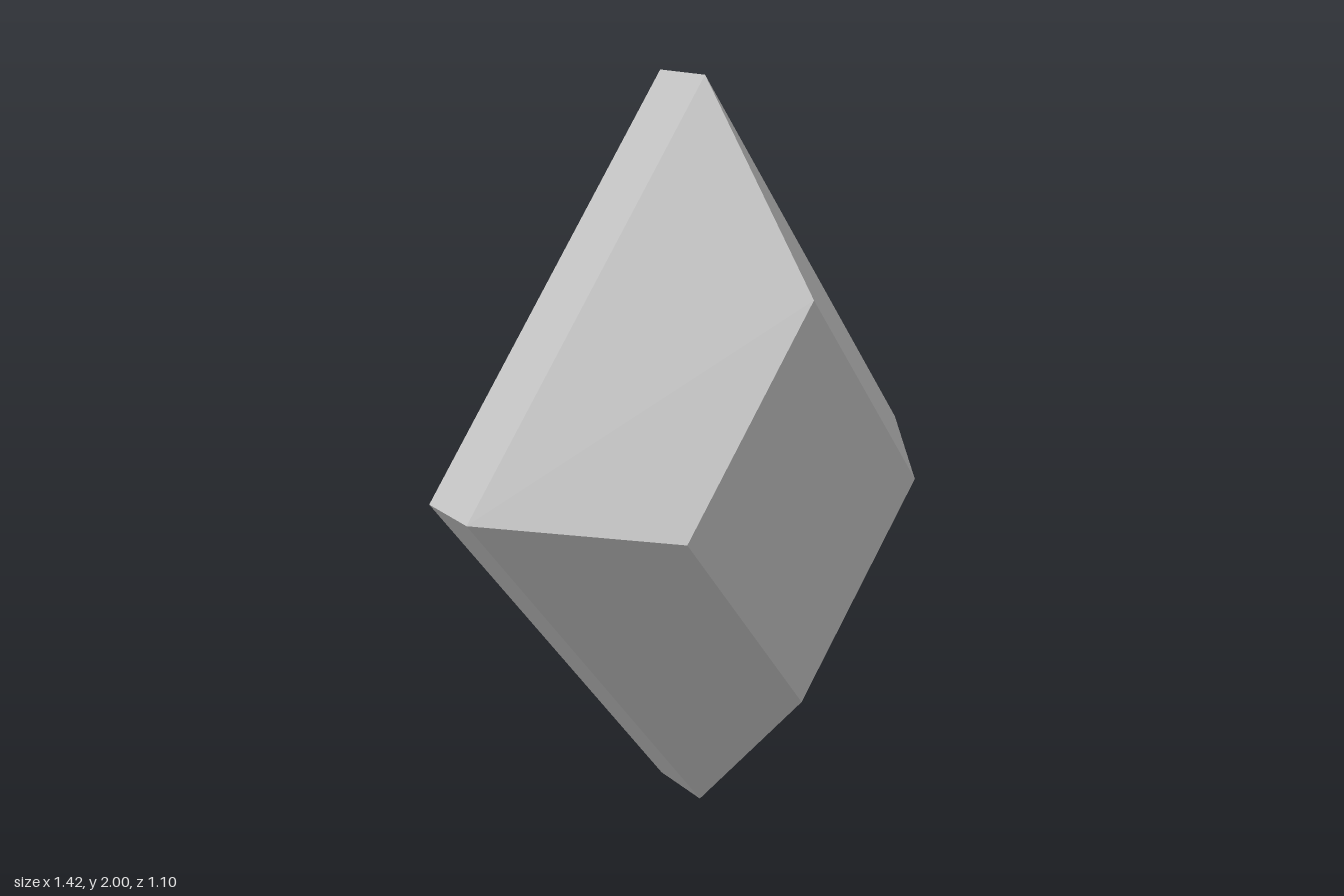
import * as THREE from 'three';

export function createModel() {
  const group = new THREE.Group();
  group.name = 'cutGem';

  const stone = new THREE.MeshStandardMaterial({ color: 0xc0c0c0, flatShading: true });
  stone.name = 'grey stone';

  // Profile from back to front: [radius, depth]
  const profile = [
    [0, -0.55], [0.057, -0.55], // tiny back facet
    [1, -0.04], [1, 0.14],      // girdle
    [0.52, 0.55], [0, 0.55],    // front table
  ].map(([r, z]) => new THREE.Vector2(r, z));

  // Four-sided turn, laid along z and narrowed into a rhombus
  const lathe = new THREE.LatheGeometry(profile, 4);
  lathe.rotateX(Math.PI / 2);
  lathe.scale(0.71, 1, 1);
  lathe.translate(0, 1, 0);
  const geometry = lathe.toNonIndexed();
  geometry.computeVertexNormals();

  const gem = new THREE.Mesh(geometry, stone);
  gem.name = 'gemBody';
  group.add(gem);
  return group;
}
